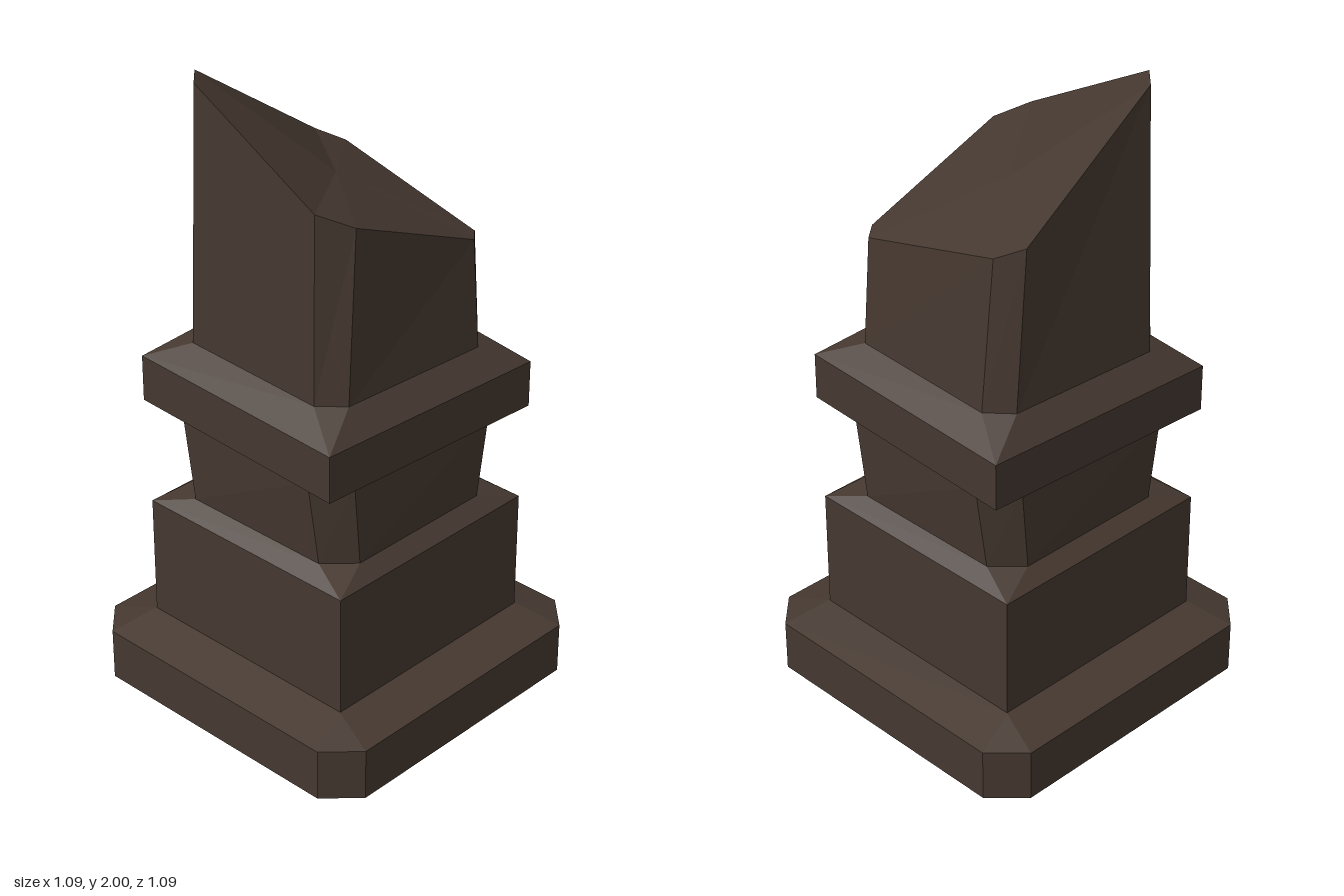
import * as THREE from 'three';

const stone = new THREE.MeshStandardMaterial({ color: 0x453830 });
stone.name = 'dark stone';
const TWIST = 0.054;

// Square ring with chamfered corners, turned slightly about y
function ring(half, chamfer, y, turn = 0) {
  const k = half - chamfer, c = Math.cos(turn), s = Math.sin(turn);
  return [[half, k], [half, -k], [k, -half], [-k, -half], [-half, -k], [-half, k], [-k, half], [k, half]]
    .map(([x, z]) => new THREE.Vector3(x * c - z * s, y, x * s + z * c));
}

// Faceted solid through a stack of rings, closed at both ends
function loft(name, rings, topCentre) {
  const pos = [];
  const tri = (a, b, c) => {
    const area = b.clone().sub(a).cross(c.clone().sub(a)).length();
    if (area > 1e-7) for (const v of [a, b, c]) pos.push(v.x, v.y, v.z);
  };
  const first = rings[0], last = rings[rings.length - 1];
  const bottom = new THREE.Vector3(0, first[0].y, 0);
  const top = topCentre || new THREE.Vector3(0, last[0].y, 0);
  for (let i = 0; i < 8; i++) {
    const j = (i + 1) % 8;
    for (let r = 0; r < rings.length - 1; r++) {
      const a = rings[r], b = rings[r + 1];
      tri(a[i], a[j], b[j]);
      tri(a[i], b[j], b[i]);
    }
    tri(bottom, first[j], first[i]);
    tri(top, last[i], last[j]);
  }
  const geo = new THREE.BufferGeometry();
  geo.setAttribute('position', new THREE.Float32BufferAttribute(pos, 3));
  geo.computeVertexNormals();
  const mesh = new THREE.Mesh(geo, stone);
  mesh.name = name;
  return mesh;
}

export function createModel() {
  const model = new THREE.Group();
  model.name = 'brokenPillar';

  // Wide foot with cut corners and sloping top
  model.add(loft('foot', [ring(0.545, 0.1, 0), ring(0.545, 0.1, 0.17), ring(0.4, 0, 0.21)]));

  // Square plinth block
  model.add(loft('plinth', [ring(0.398, 0, 0.21), ring(0.398, 0, 0.605), ring(0.345, 0.085, 0.645)]));

  // Flared neck, twisting toward the collar
  model.add(loft('neck', [ring(0.345, 0.085, 0.645), ring(0.37, 0.095, 0.935, TWIST)]));

  // Turned square collar
  model.add(loft('collar', [
    ring(0.409, 0, 0.942, TWIST), ring(0.409, 0, 1.092, TWIST), ring(0.332, 0.07, 1.165, TWIST),
  ]));

  // Tapered shaft broken off at a slant, hollowed slightly in the middle
  const brokenRim = [
    [0.31, 1.705, 0.245], [0.325, 1.51, -0.235], [0.28, 1.505, -0.29], [-0.24, 1.635, -0.295],
    [-0.31, 1.67, -0.235], [-0.305, 2, 0.255], [-0.235, 2, 0.325], [0.235, 1.75, 0.33],
  ].map((p) => new THREE.Vector3(...p));
  model.add(loft('brokenShaft', [ring(0.332, 0.07, 1.165, TWIST), brokenRim],
    new THREE.Vector3(0, 1.7, 0)));

  return model;
}
